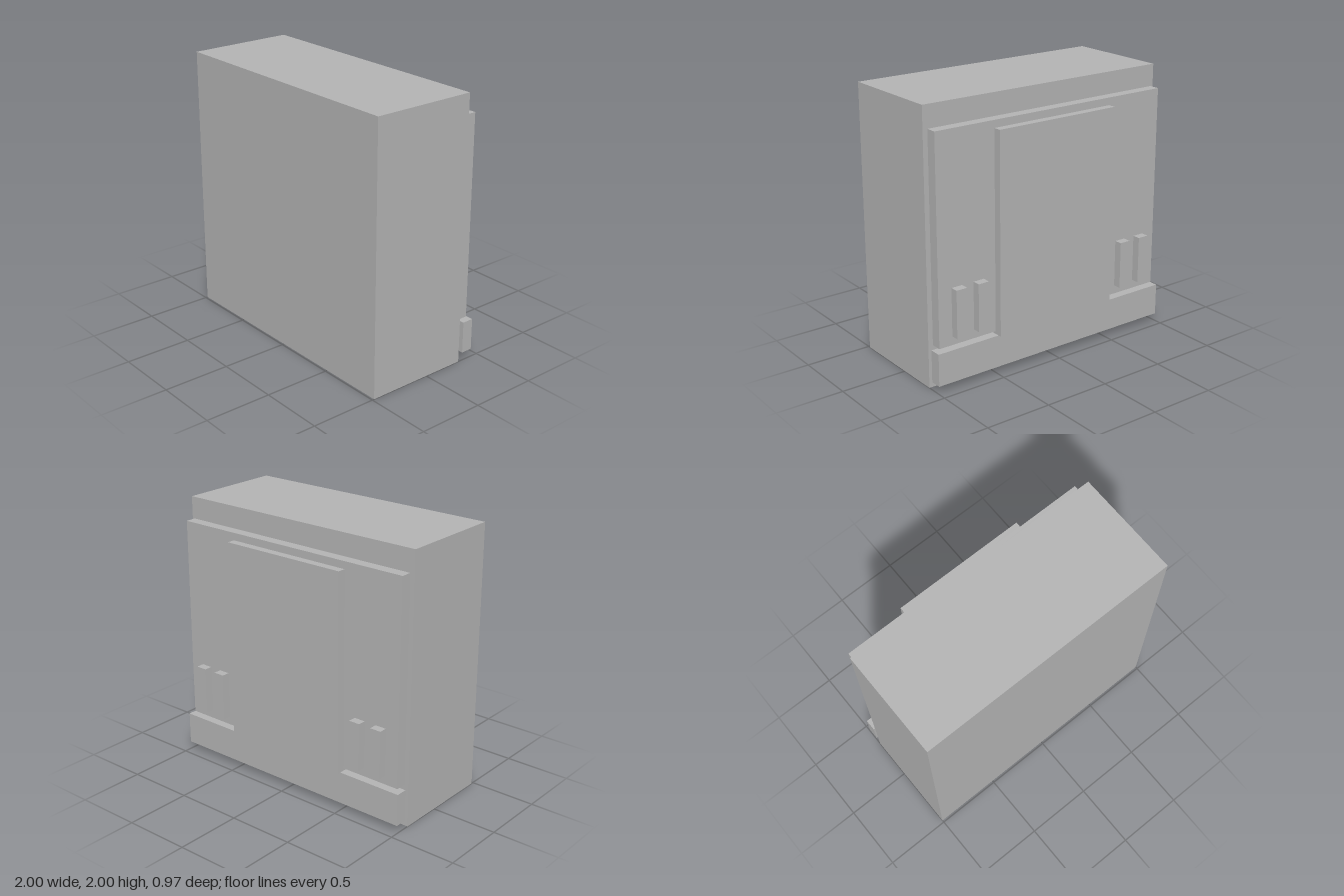
import * as THREE from 'three';

export function createModel() {
  const model = new THREE.Group();
  const grey = new THREE.MeshStandardMaterial({ color: 0xb2b2b2 });
  grey.name = 'plain grey';

  // Box given by its min and max extents on each axis
  const addBox = (name, [x0, x1], [y0, y1], [z0, z1]) => {
    const mesh = new THREE.Mesh(new THREE.BoxGeometry(x1 - x0, y1 - y0, z1 - z0), grey);
    mesh.position.set((x0 + x1) / 2, (y0 + y1) / 2, (z0 + z1) / 2);
    mesh.name = name;
    model.add(mesh);
  };

  // Main block
  addBox('body', [-1, 1], [0, 2], [-0.316, 0.484]);

  // Layers on the back
  addBox('backPlate', [-0.97, 0.97], [0.32, 1.84], [-0.406, -0.326]);
  addBox('centrePanel', [-0.5, 0.5], [0.3, 1.785], [-0.466, -0.316]);
  addBox('lowerBar', [-1, 1], [0.06, 0.3], [-0.44, -0.353]);

  // Two upright blocks on each side of the panel
  for (const side of [-1, 1]) {
    for (const x of [0.64, 0.82]) {
      const c = side * x;
      addBox(side > 0 ? 'leftPeg' : 'rightPeg', [c - 0.043, c + 0.043], [0.385, 0.74], [-0.466, -0.4]);
    }
  }

  // Flat sheet just off the panel, facing backwards
  const sheet = new THREE.Mesh(new THREE.PlaneGeometry(0.77, 1.24), grey);
  sheet.rotation.y = Math.PI;
  sheet.position.set(0, 1.042, -0.484);
  sheet.name = 'panelSheet';
  model.add(sheet);

  return model;
}
